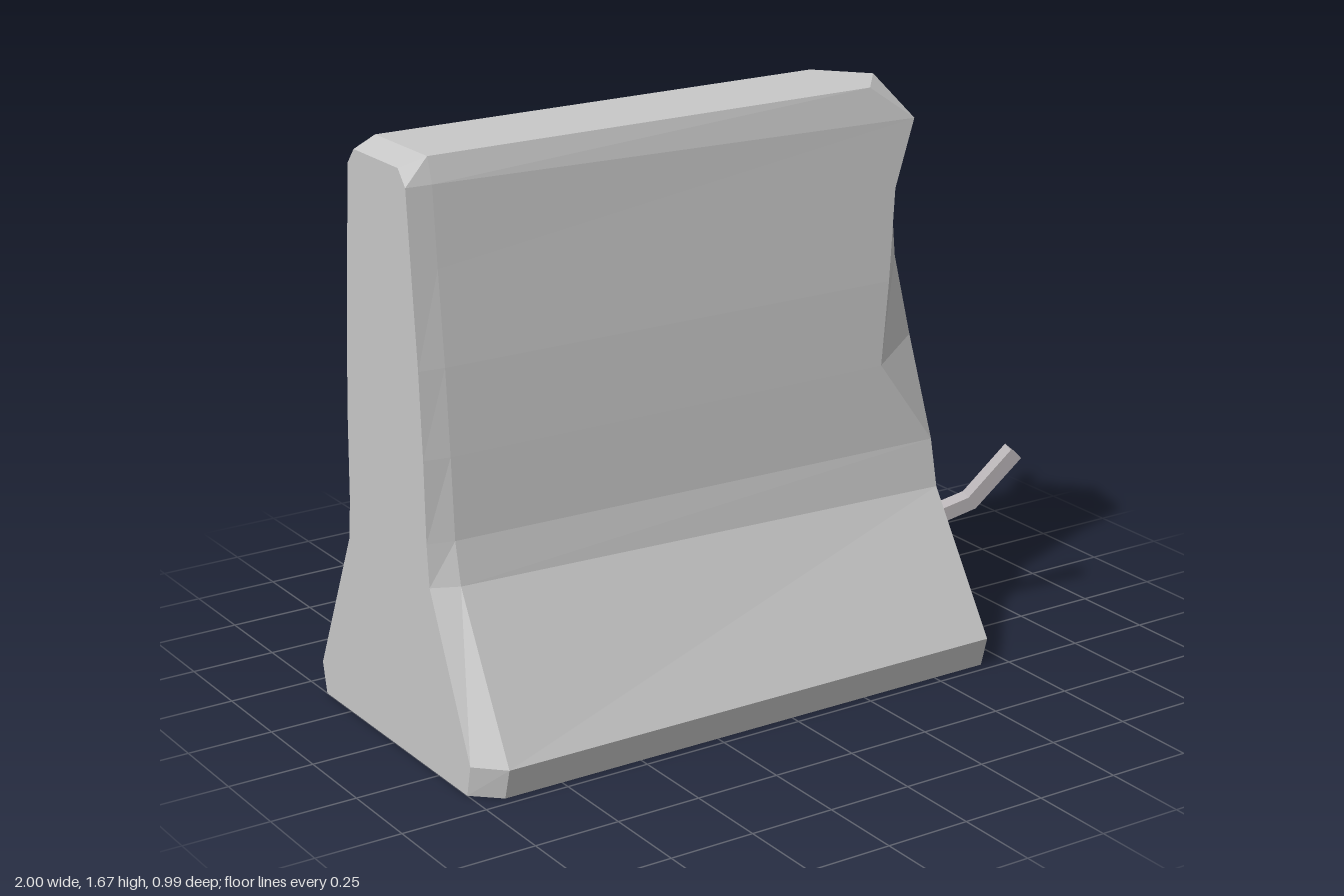
import * as THREE from 'three';

// Rows from base to crown: [height, half width, inset of the end chamfer]
const profile = [
  [0, 0.47, 0.07], [0.09, 0.495, 0.075], [0.53, 0.26, 0.035], [0.65, 0.235, 0.02], [0.88, 0.222, 0.012],
  [1.12, 0.205, 0.008], [1.38, 0.18, 0.005], [1.6, 0.162, 0.005], [1.67, 0.14, 0.02],
];
// Broken end, same rows: [x, y, z] along the front edge, middle ridge and back edge
const brokenFront = [
  [0.67, 0, 0.47], [0.67, 0.09, 0.495], [0.655, 0.49, 0.26], [0.65, 0.63, 0.236], [0.475, 0.88, 0.222],
  [0.51, 1.12, 0.205], [0.545, 1.38, 0.18], [0.62, 1.57, 0.163], [0.48, 1.67, 0.14],
];
const ridge = [
  [0.88, 0, 0], [0.88, 0.09, 0], [0.77, 0.45, 0], [0.805, 0.62, 0], [0.745, 0.87, 0],
  [0.685, 1.12, 0], [0.662, 1.38, 0], [0.668, 1.55, 0], [0.595, 1.67, 0],
];
const brokenBack = [
  [0.66, 0, -0.47], [0.66, 0.09, -0.495], [0.65, 0.4, -0.26], [0.65, 0.63, -0.236], [0.43, 0.98, -0.215],
  [0.49, 1.18, -0.2], [0.55, 1.38, -0.18], [0.54, 1.6, -0.162], [0.475, 1.67, -0.14],
];

function barrierGeometry() {
  const pos = [];
  const tri = (...pts) => pts.forEach((p) => pos.push(...p));
  const quad = (a, b, c, d) => { tri(a, b, c); tri(a, c, d); };
  const mirrorZ = ([x, y, z]) => [x, y, -z];
  const top = profile.length - 1;

  // Intact end face and the section just behind its chamfer
  const endFront = profile.map(([y, w, inset], i) => [-1, i === top ? 1.645 : y, w - inset]);
  const endBack = endFront.map(mirrorZ);
  const sideFront = profile.map(([y, w]) => [-0.925, y, w]);
  const sideBack = sideFront.map(mirrorZ);

  // Skin: closed sections joined from the intact end to the broken end
  const loop = (front, back) => [...front, ...[...back].reverse()];
  const sections = [loop(endFront, endBack), loop(sideFront, sideBack), loop(brokenFront, brokenBack)];
  for (let s = 0; s < sections.length - 1; s++) {
    const A = sections[s], B = sections[s + 1];
    for (let i = 0; i < A.length; i++) {
      const j = (i + 1) % A.length;
      quad(A[i], B[i], B[j], A[j]);
    }
  }
  // Intact end cap and two-sided fracture surface
  for (let i = 0; i < top; i++) {
    quad(endBack[i], endFront[i], endFront[i + 1], endBack[i + 1]);
    quad(brokenFront[i], ridge[i], ridge[i + 1], brokenFront[i + 1]);
    quad(ridge[i], brokenBack[i], brokenBack[i + 1], ridge[i + 1]);
  }
  // Tips of the underside and the crown
  tri(brokenFront[0], brokenBack[0], ridge[0]);
  tri(brokenBack[top], brokenFront[top], ridge[top]);

  const geo = new THREE.BufferGeometry();
  geo.setAttribute('position', new THREE.Float32BufferAttribute(pos, 3));
  geo.computeVertexNormals();
  return geo;
}

// Square bar with one bend; both legs are equal so the bend falls on the middle step
function barGeometry(root, bend, tip) {
  const [r, b, t] = [root, bend, tip].map((p) => new THREE.Vector3(...p));
  const start = r.sub(b).setLength(b.distanceTo(t)).add(b);
  const path = new THREE.CurvePath();
  path.add(new THREE.LineCurve3(start, b));
  path.add(new THREE.LineCurve3(b, t));
  const h = 0.023;
  const square = new THREE.Shape([[-h, -h], [h, -h], [h, h], [-h, h]].map(([x, y]) => new THREE.Vector2(x, y)));
  return new THREE.ExtrudeGeometry(square, { steps: 2, extrudePath: path, bevelEnabled: false });
}

export function createModel() {
  const concrete = new THREE.MeshStandardMaterial({ color: 0xc8c8c8, flatShading: true });
  concrete.name = 'concrete';
  const steel = new THREE.MeshStandardMaterial({ color: 0xbab5b8, flatShading: true });
  steel.name = 'steel';

  const model = new THREE.Group();
  model.name = 'brokenBarrier';
  const add = (name, geo, mat) => {
    const mesh = new THREE.Mesh(geo, mat);
    mesh.name = name;
    model.add(mesh);
  };
  add('barrierBody', barrierGeometry(), concrete);
  add('upperBar', barGeometry([0.56, 1.115, -0.14], [0.69, 1.155, -0.225], [0.825, 1.255, -0.34]), steel);
  add('lowerBar', barGeometry([0.76, 0.335, 0.12], [0.86, 0.375, 0.16], [0.98, 0.52, 0.21]), steel);
  return model;
}
